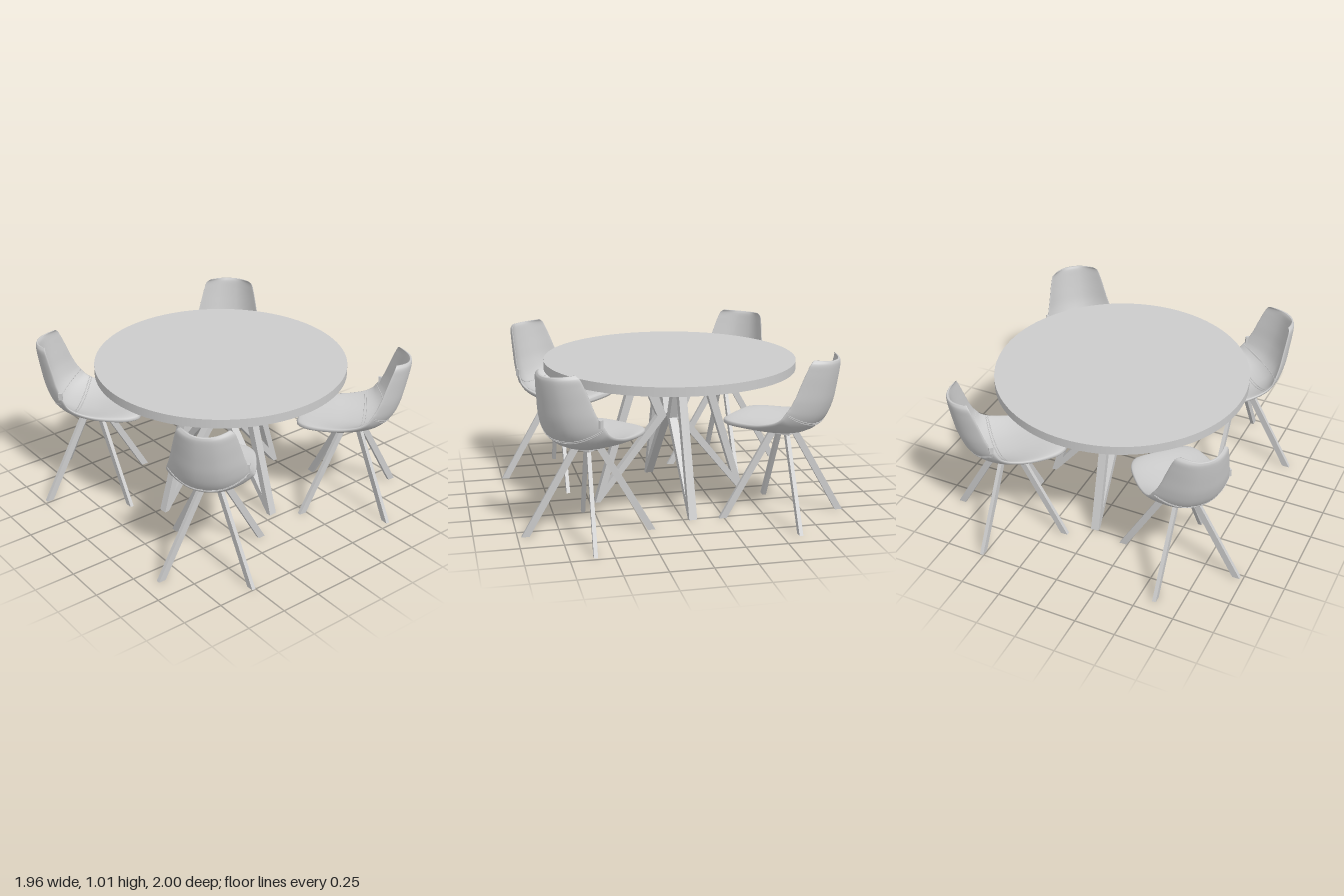
import * as THREE from 'three';

const grey = new THREE.MeshStandardMaterial({ color: 0xcccccc });

function add(parent, name, geometry) {
  const mesh = new THREE.Mesh(geometry, grey);
  mesh.name = name;
  parent.add(mesh);
  return mesh;
}

// Seat shell stations from front lip to top of back: [z, y, half width, half thickness, edge lift]
const stations = [
  [0.328, 0.584, 0.13, 0.008, 0], [0.315, 0.582, 0.172, 0.022, 0.002],
  [0.26, 0.575, 0.215, 0.027, 0.012], [0.14, 0.558, 0.24, 0.025, 0.035],
  [0.02, 0.548, 0.248, 0.022, 0.06], [-0.1, 0.557, 0.246, 0.02, 0.088],
  [-0.18, 0.588, 0.24, 0.018, 0.11], [-0.24, 0.65, 0.23, 0.016, 0.118],
  [-0.278, 0.74, 0.213, 0.015, 0.113], [-0.301, 0.84, 0.192, 0.014, 0.104],
  [-0.318, 0.93, 0.172, 0.013, 0.092], [-0.326, 0.98, 0.156, 0.011, 0.083],
  [-0.329, 0.999, 0.132, 0.005, 0.08],
];
const last = stations.length - 1;
const spine = new THREE.CatmullRomCurve3(stations.map((s) => new THREE.Vector3(s[0], s[1], s[2])));
const extras = new THREE.CatmullRomCurve3(stations.map((s) => new THREE.Vector3(s[3], s[4], 0)));

// Point on the shell: v runs front to back, u across (-1..1), s from underside to upper side (-1..1)
function shellPoint(v, u, s) {
  const c = spine.getPoint(v), e = extras.getPoint(v), t = spine.getTangent(v);
  const len = Math.hypot(t.x, t.y);
  const offset = e.y * Math.abs(u) ** 2.2 + e.x * s;
  return new THREE.Vector3(c.z * u, c.y - (t.x / len) * offset, c.x + (t.y / len) * offset);
}

function shellGeometry(rows = 60, sides = 48) {
  const pos = [], index = [];
  const power = (k, p) => Math.sign(k) * Math.abs(k) ** p;
  for (let i = 0; i <= rows; i++) {
    for (let j = 0; j < sides; j++) {
      const a = (j / sides) * Math.PI * 2;
      const p = shellPoint(i / rows, power(Math.cos(a), 0.7), power(Math.sin(a), 0.6));
      pos.push(p.x, p.y, p.z);
      if (i === rows) continue;
      const k = i * sides + j, n = i * sides + ((j + 1) % sides);
      index.push(k, k + sides, n, n, k + sides, n + sides);
    }
  }
  // close both ends with strips between upper and lower sides
  const top = rows * sides;
  for (let j = 0; j < sides / 2; j++) {
    const a = j, b = j + 1, c = sides - j - 1, d = (sides - j) % sides;
    index.push(a, b, c, a, c, d);
    index.push(top + a, top + c, top + b, top + a, top + d, top + c);
  }
  const g = new THREE.BufferGeometry();
  g.setAttribute('position', new THREE.Float32BufferAttribute(pos, 3));
  g.setIndex(index);
  g.computeVertexNormals();
  return g;
}

// Thin raised stitching across the shell, on the upper (side 1) or outer (side -1) face
function seamGeometry(station, side) {
  const points = [];
  for (let i = 0; i <= 24; i++) {
    const u = (i / 12 - 1) * 0.97;
    const s = (1 - Math.abs(u) ** (2 / 0.7)) ** 0.3;
    points.push(shellPoint(station / last, u, side * s));
  }
  return new THREE.TubeGeometry(new THREE.CatmullRomCurve3(points), 48, 0.003, 5);
}

// Slanted flat bar with feet cut level with the floor, leaning outwards along +x
function chairLegGeometry() {
  const h = 0.54;
  const g = new THREE.BoxGeometry(0.046, h, 0.023).translate(0, h / 2, 0);
  const p = g.attributes.position;
  for (let i = 0; i < p.count; i++) {
    p.setX(i, p.getX(i) + THREE.MathUtils.lerp(0.368, 0.06, p.getY(i) / h));
  }
  g.computeVertexNormals();
  return g;
}

function createChair() {
  const chair = new THREE.Group();
  add(chair, 'seatShell', shellGeometry());
  for (const station of [4.75, 4.9]) add(chair, 'seatSeam', seamGeometry(station, 1));
  add(chair, 'innerBackSeam', seamGeometry(6.5, 1));
  for (const station of [6.5, 6.65]) add(chair, 'outerBackSeam', seamGeometry(station, -1));
  add(chair, 'mountPlate', new THREE.BoxGeometry(0.15, 0.015, 0.15)).position.y = 0.53;
  // small fabric tab on the right edge
  add(chair, 'sideTab', new THREE.BoxGeometry(0.014, 0.045, 0.025)).position.copy(shellPoint(7.4 / last, -1, 0));
  const leg = chairLegGeometry();
  for (let i = 0; i < 4; i++) add(chair, 'chairLeg', leg).rotation.y = Math.PI / 4 + (i * Math.PI) / 2;
  return chair;
}

function createTable() {
  const table = new THREE.Group();
  table.name = 'table';
  add(table, 'tableTop', new THREE.CylinderGeometry(0.777, 0.777, 0.055, 96)).position.y = 0.8725;
  // four open triangular frames meeting near the middle
  const vectors = (list) => list.map(([x, y]) => new THREE.Vector2(x, y));
  const frame = new THREE.Shape(vectors([[0.49, 0], [0.235, 0.846], [0.155, 0.846], [0.025, 0.53], [0.46, 0]]));
  frame.holes.push(new THREE.Path(vectors([[0.412, 0.118], [0.085, 0.53], [0.196, 0.8]])));
  const geometry = new THREE.ExtrudeGeometry(frame, { depth: 0.05, bevelEnabled: false }).translate(0, 0, -0.025);
  for (let i = 0; i < 4; i++) add(table, 'tableLeg', geometry).rotation.y = 0.08 + (i * Math.PI) / 2;
  table.position.set(0.03, 0, -0.02);
  return table;
}

export function createModel() {
  const model = new THREE.Group();
  model.name = 'diningSet';
  model.add(createTable());

  // chairs: [name, x, z, heading in degrees]
  const places = [
    ['frontLeftChair', 0.59, 0.585, -138],
    ['frontRightChair', -0.513, 0.608, 135],
    ['backLeftChair', 0.515, -0.61, -45],
    ['backRightChair', -0.59, -0.53, 46],
  ];
  const chair = createChair();
  for (const [name, x, z, heading] of places) {
    const copy = chair.clone();
    copy.name = name;
    copy.position.set(x, 0, z);
    copy.rotation.y = THREE.MathUtils.degToRad(heading);
    model.add(copy);
  }
  return model;
}
